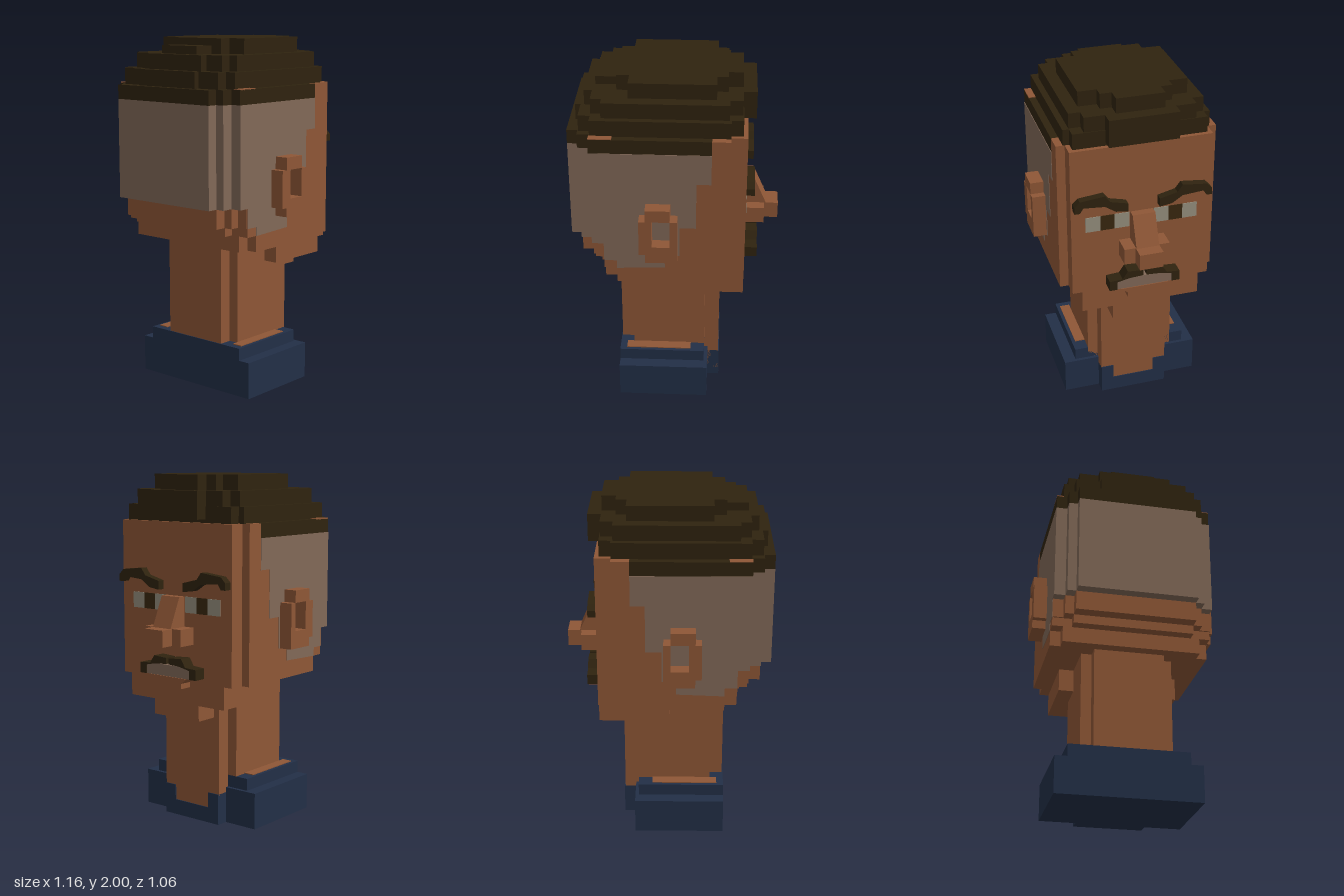
import * as THREE from 'three';

const mat = (name, color) => {
  const m = new THREE.MeshStandardMaterial({ color });
  m.name = name;
  return m;
};

export function createModel() {
  const skin = mat('skin', 0x8f5736);
  const hair = mat('darkHair', 0x2f230f);
  const stubble = mat('shavedHair', 0x826958);
  const navy = mat('navyCloth', 0x222f47);
  const eyeWhite = mat('eyeWhite', 0x97907f);
  const iris = mat('iris', 0x3a280f);

  const model = new THREE.Group();
  model.name = 'bust';

  const add = (name, geometry, material, parent = model) => {
    const mesh = new THREE.Mesh(geometry, material);
    mesh.name = name;
    parent.add(mesh);
    return mesh;
  };
  const extrude = (shape, depth) =>
    new THREE.ExtrudeGeometry(shape, { depth, bevelEnabled: false });
  const shapeOf = (pts) => new THREE.Shape(pts.map(([x, y]) => new THREE.Vector2(x, y)));

  // Box given by its extents
  const box = (name, m, x0, x1, y0, y1, z0, z1) => {
    const g = new THREE.BoxGeometry(x1 - x0, y1 - y0, z1 - z0);
    g.translate((x0 + x1) / 2, (y0 + y1) / 2, (z0 + z1) / 2);
    return add(name, g, m);
  };

  // Layer with a stepped plan: steps are [x start, half width], ending at xEnd
  const layer = (name, m, y0, y1, steps, xEnd) => {
    const half = [];
    steps.forEach(([x, w], i) => {
      half.push([x, w], [i + 1 < steps.length ? steps[i + 1][0] : xEnd, w]);
    });
    const other = half.map(([x, w]) => [x, -w]).reverse();
    const g = extrude(shapeOf([...half, ...other]), y1 - y0);
    g.rotateX(-Math.PI / 2).translate(0, y0, 0);
    return add(name, g, m);
  };

  // Relief on the face: points are [z, y], raised from x0 to x1
  const relief = (name, m, pts, x0, x1, side = 1) => {
    const g = extrude(shapeOf(pts.map(([z, y]) => [-z * side, y])), x1 - x0);
    g.rotateY(Math.PI / 2).translate(x0, 0, 0);
    return add(name, g, m);
  };

  // Relief on the side of the head: shape in x and y, raised from z0 to z1
  const sideRelief = (name, m, shape, z0, z1, side) => {
    const g = extrude(shape, z1 - z0);
    g.translate(0, 0, side > 0 ? z0 : -z1);
    return add(name, g, m);
  };

  // Collar
  box('collarBase', navy, -0.33, 0.19, 0, 0.21, -0.41, 0.41);
  box('collarRim', navy, -0.33, 0.17, 0.21, 0.28, -0.34, 0.34);
  relief('collarFront', navy, [
    [-0.2, 0], [0.2, 0], [0.2, 0.18], [0.125, 0.18], [0.125, 0.09],
    [-0.125, 0.09], [-0.125, 0.18], [-0.2, 0.18],
  ], 0.18, 0.26);
  for (const s of [1, -1]) {
    box('collarEdge', skin, -0.29, 0.09, 0.278, 0.285, s * 0.29 - 0.03, s * 0.29 + 0.03);
  }

  // Neck and jaw
  layer('neck', skin, 0.05, 0.86, [[-0.325, 0.2], [-0.25, 0.26], [0.17, 0.2]], 0.255);
  box('chin', skin, 0.25, 0.39, 0.63, 0.73, -0.165, 0.165);
  layer('jaw', skin, 0.72, 0.86, [[-0.01, 0.345]], 0.39);

  // Head, stepping in towards the nape
  layer('lowerHead', skin, 0.85, 0.94, [[-0.39, 0.39], [-0.32, 0.45], [0.3, 0.4]], 0.39);
  layer('lowerHead', skin, 0.94, 0.99, [[-0.45, 0.34], [-0.39, 0.45], [0.3, 0.4]], 0.39);
  layer('lowerHead', skin, 0.99, 1.1, [[-0.52, 0.34], [-0.455, 0.39], [-0.4, 0.45], [0.3, 0.4]], 0.39);
  layer('shavedBack', stubble, 1.1, 1.66, [[-0.58, 0.34], [-0.52, 0.39], [-0.455, 0.45]], -0.4);
  layer('face', skin, 1.1, 1.66, [[-0.4, 0.45], [0.3, 0.4]], 0.39);
  layer('forehead', skin, 1.66, 1.74, [[0.2, 0.45], [0.3, 0.4]], 0.39);

  // Stepped hair
  layer('hairBand', hair, 1.66, 1.74, [[-0.58, 0.34], [-0.52, 0.39], [-0.455, 0.45]], 0.2);
  layer('hairLayer', hair, 1.74, 1.83, [[-0.545, 0.21], [-0.515, 0.35], [-0.45, 0.41], [0.3, 0.375]], 0.365);
  layer('hairLayer', hair, 1.83, 1.915, [[-0.495, 0.21], [-0.45, 0.32], [-0.39, 0.375], [0.29, 0.31]], 0.36);
  box('hairStep', hair, -0.44, 0, 1.91, 1.96, -0.13, 0.13);
  layer('hairTop', hair, 1.91, 2, [[-0.32, 0.2], [-0.25, 0.305], [0.22, 0.2], [0.28, 0.135]], 0.36);
  box('hairFringe', hair, 0.34, 0.435, 1.76, 1.915, -0.195, 0.195);

  for (const s of [1, -1]) {
    // Bare scalp at the back corner
    box('scalpCorner', skin, -0.455, -0.33, 1.737, 1.744, s * 0.43 - 0.02, s * 0.43 + 0.02);

    // Shaved side of the head
    sideRelief('shavedSide', stubble, shapeOf([
      [-0.455, 1.66], [0.2, 1.66], [0.2, 1.485], [0.12, 1.485], [0.12, 1.21], [0.03, 1.21],
      [0.03, 1.03], [-0.05, 1.03], [-0.05, 0.95], [-0.32, 0.94], [-0.32, 0.99], [-0.39, 0.99],
      [-0.39, 1.1], [-0.455, 1.1],
    ]), 0.445, 0.453, s);

    // Ear ring with an opening
    const ear = shapeOf([
      [-0.155, 1.03], [0.02, 1.03], [0.02, 1.29], [-0.02, 1.29], [-0.02, 1.36],
      [-0.155, 1.36], [-0.155, 1.29], [-0.19, 1.29], [-0.19, 1.08], [-0.155, 1.08],
    ]);
    ear.holes.push(new THREE.Path([
      [-0.12, 1.13], [-0.12, 1.29], [-0.02, 1.29], [-0.02, 1.13],
    ].map(([x, y]) => new THREE.Vector2(x, y))));
    sideRelief('ear', skin, ear, 0.44, 0.53, s);

    // Eye: white, iris, white
    [[0.155, 0.07, eyeWhite], [0.235, 0.155, iris], [0.32, 0.235, eyeWhite]].forEach(([a, b, m]) =>
      relief(m === iris ? 'iris' : 'eyeWhite', m,
        [[a, 1.24], [a, 1.33], [b, 1.33], [b, 1.24]], 0.386, 0.394, s));

    // Eyebrow
    relief('eyebrow', hair, [
      [0.39, 1.39], [0.39, 1.43], [0.36, 1.46], [0.22, 1.475], [0.19, 1.435], [0.09, 1.41],
      [0.09, 1.36], [0.16, 1.37], [0.22, 1.41], [0.34, 1.42], [0.36, 1.39],
    ], 0.38, 0.435, s);

    // Half of the moustache
    relief('moustache', hair, [
      [0.01, 0.95], [0.01, 0.985], [0.1, 0.99], [0.13, 0.945], [0.205, 0.94],
      [0.205, 0.88], [0.16, 0.88], [0.16, 0.93], [0.09, 0.945],
    ], 0.38, 0.465, s);
  }

  // Nose: sloping bridge, tip and nostrils
  const bridge = extrude(shapeOf([[0.38, 1.07], [0.51, 1.07], [0.51, 1.16], [0.435, 1.33], [0.38, 1.33]]), 0.13);
  add('noseBridge', bridge.translate(0, 0, -0.065), skin);
  box('noseTip', skin, 0.48, 0.58, 1.065, 1.16, -0.067, 0.067);
  box('nostrils', skin, 0.38, 0.5, 1.065, 1.16, -0.13, 0.13);

  // Lips
  relief('upperLip', stubble, [
    [0.16, 0.88], [0.16, 0.93], [0.09, 0.945], [-0.09, 0.945], [-0.16, 0.93], [-0.16, 0.88],
  ], 0.38, 0.46);
  relief('lowerLip', skin, [
    [0.14, 0.88], [0.1, 0.85], [0.1, 0.82], [-0.1, 0.82], [-0.1, 0.85], [-0.14, 0.88],
  ], 0.38, 0.465);

  return model;
}
